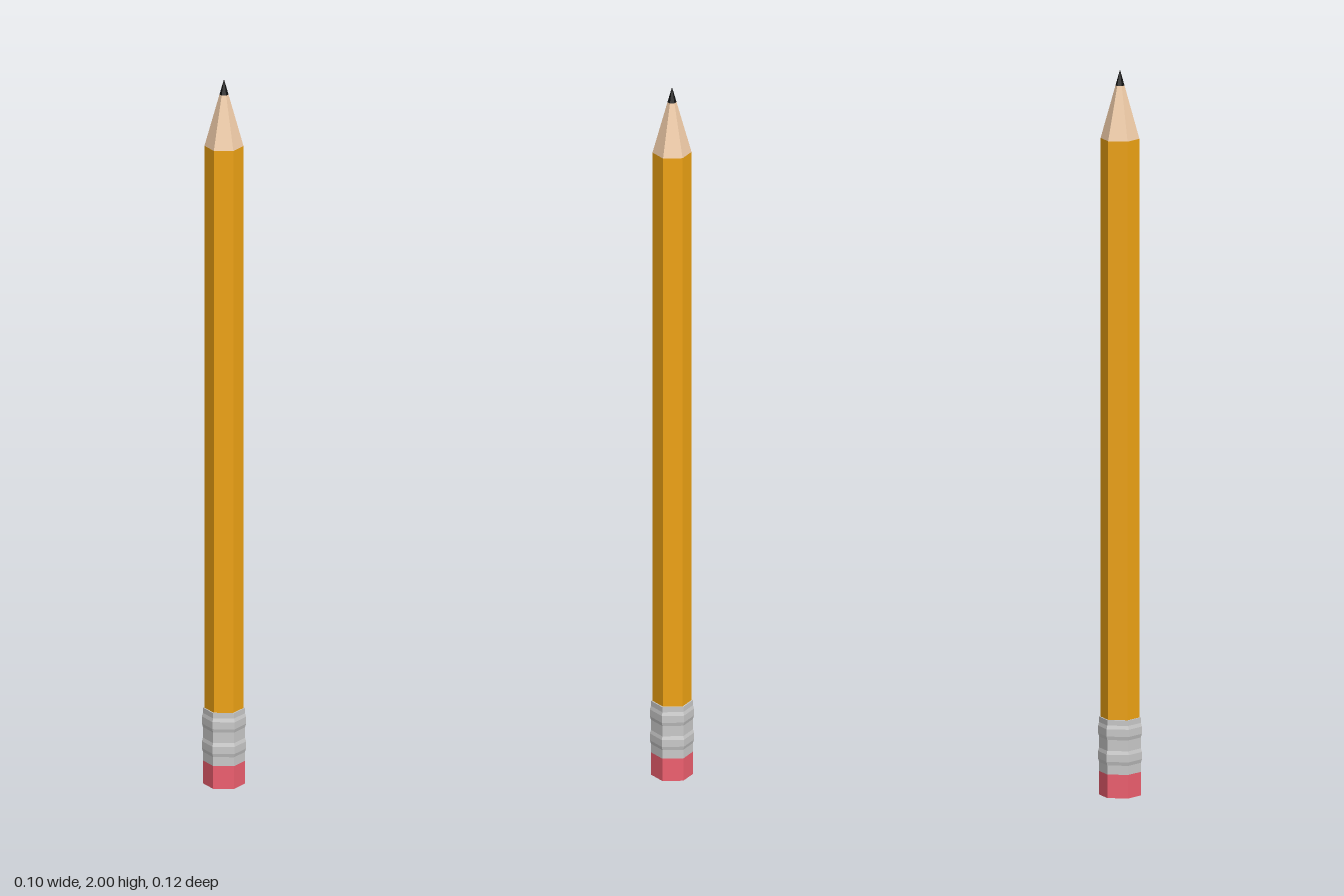
import * as THREE from 'three';

const SIDES = 6;

// Hexagonal part turned from a [radius, height] profile listed bottom to top
function hexPart(name, color, profile) {
  const points = profile.map(([r, y]) => new THREE.Vector2(r, y));
  const mesh = new THREE.Mesh(
    new THREE.LatheGeometry(points, SIDES),
    new THREE.MeshStandardMaterial({ color, flatShading: true })
  );
  mesh.name = name;
  return mesh;
}

// Metal band profile: straight sleeve with two raised ribs
function ferruleProfile() {
  const base = 0.057, rib = 0.06;
  const profile = [[0, 0.065], [base, 0.065]];
  for (const y of [0.11, 0.18]) {
    profile.push([base, y - 0.02], [rib, y - 0.01], [rib, y + 0.01], [base, y + 0.02]);
  }
  profile.push([base, 0.215], [0, 0.215]);
  return profile;
}

export function createModel() {
  const pencil = new THREE.Group();
  pencil.name = 'pencil';
  pencil.add(
    hexPart('eraser', 0xf06070, [[0, 0], [0.057, 0], [0.057, 0.065], [0, 0.065]]),
    hexPart('ferrule', 0xc0c2c0, ferruleProfile()),
    hexPart('paintedBody', 0xf0a414, [[0.053, 0.215], [0.053, 1.81]]),
    hexPart('sharpenedWood', 0xf0cca8, [[0.053, 1.81], [0.0123, 1.956]]),
    hexPart('leadTip', 0x111111, [[0.0123, 1.956], [0, 2]])
  );
  return pencil;
}
